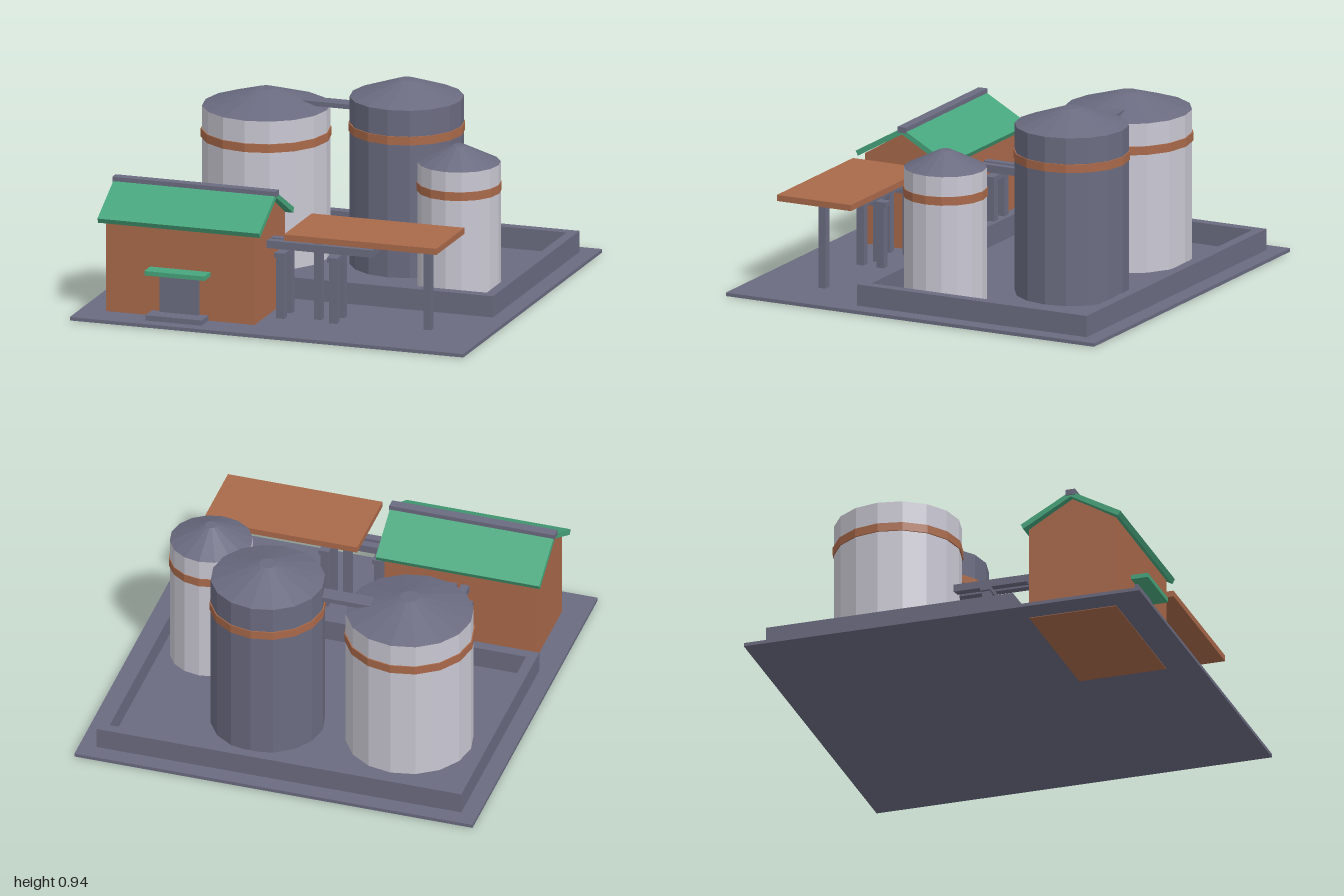
import * as THREE from 'three';

export function createModel() {
  const model = new THREE.Group();
  model.name = 'storagePlant';

  const material = (name, color, extra = {}) => {
    const m = new THREE.MeshStandardMaterial({ color, flatShading: true, ...extra });
    m.name = name;
    return m;
  };
  const slate = material('slate', 0x6a6b80);
  const pale = material('paleGrey', 0xc9c7d2);
  const rust = material('rust', 0xa9694a);
  const green = material('green', 0x47a57c);

  const add = (parent, name, geometry, mat) => {
    const mesh = new THREE.Mesh(geometry, mat);
    mesh.name = name;
    parent.add(mesh);
    return mesh;
  };
  // Box given by its limits on each axis
  const box = (parent, name, mat, x0, x1, y0, y1, z0, z1) => {
    const mesh = add(parent, name, new THREE.BoxGeometry(x1 - x0, y1 - y0, z1 - z0), mat);
    mesh.position.set((x0 + x1) / 2, (y0 + y1) / 2, (z0 + z1) / 2);
    return mesh;
  };
  const group = (name) => {
    const g = new THREE.Group();
    g.name = name;
    model.add(g);
    return g;
  };
  // Cross-section in (z, y), extruded along x
  const prism = (parent, name, mat, points, x0, x1, z) => {
    const shape = new THREE.Shape(points.map(([a, b]) => new THREE.Vector2(a, b)));
    const geometry = new THREE.ExtrudeGeometry(shape, { depth: x1 - x0, bevelEnabled: false });
    geometry.rotateY(Math.PI / 2);
    const mesh = add(parent, name, geometry, mat);
    mesh.position.set(x0, 0, z);
    return mesh;
  };

  // Ground slab
  box(model, 'groundSlab', slate, -1, 1, 0.003, 0.02, -1, 1);

  // Low wall around the tanks
  const wall = group('retainingWall');
  box(wall, 'backWall', slate, -0.917, 0.915, 0.02, 0.125, -0.915, -0.865);
  box(wall, 'frontWall', slate, -0.917, 0.915, 0.02, 0.125, 0.28, 0.332);
  box(wall, 'rightWall', slate, -0.917, -0.867, 0.02, 0.125, -0.865, 0.28);
  box(wall, 'leftWall', slate, 0.865, 0.915, 0.02, 0.125, -0.865, 0.28);

  // Tanks with a painted band and a shallow cone roof
  const tank = (name, mat, x, z, r, top) => {
    const g = group(name);
    g.position.set(x, 0, z);
    const ring = (part, m, r0, r1, y0, y1) => {
      add(g, part, new THREE.CylinderGeometry(r1, r0, y1 - y0, 16), m).position.y = (y0 + y1) / 2;
    };
    const band = 0.02 + (top - 0.02) * 0.82;
    ring('tankBody', mat, r, r, 0.02, top);
    ring('tankBand', rust, r * 1.02, r * 1.02, band - 0.021, band + 0.021);
    ring('tankRoof', slate, r, r * 0.15, top, top + 0.084);
  };
  tank('wideTank', pale, -0.493, -0.39, 0.308, 0.76);
  tank('tallTank', slate, 0.2, -0.453, 0.275, 0.852);
  tank('smallTank', pale, 0.628, 0.005, 0.2, 0.683);
  box(model, 'tankWalkway', slate, -0.32, -0.05, 0.777, 0.8, -0.465, -0.385);

  // Building with a gabled roof
  const building = group('building');
  prism(building, 'buildingWalls', rust,
    [[-0.22, 0], [0.22, 0], [0.22, 0.468], [0, 0.6], [-0.22, 0.468]], -0.872, -0.117, 0.62);
  prism(building, 'gableRoof', green,
    [[0, 0.625], [-0.252, 0.485], [-0.24, 0.461], [0, 0.597], [0.24, 0.461], [0.252, 0.485]],
    -0.905, -0.083, 0.62);
  box(building, 'roofRidge', slate, -0.91, -0.08, 0.605, 0.633, 0.596, 0.644);
  box(building, 'door', slate, -0.595, -0.397, 0.045, 0.237, 0.83, 0.857);
  box(building, 'doorStep', slate, -0.638, -0.352, 0.02, 0.046, 0.835, 0.938);
  box(building, 'doorAwning', green, -0.648, -0.342, 0.24, 0.262, 0.835, 0.925);

  // Pipe rack: two pipes along x, on portal supports
  const pipeRack = (name, length, supports) => {
    const g = group(name);
    for (const side of [-1, 1]) {
      const c = side * 0.03;
      box(g, 'pipe', slate, 0, length, 0.358, 0.395, c - 0.02, c + 0.02);
    }
    for (const x of supports) {
      box(g, 'crossbeam', slate, x - 0.025, x + 0.025, 0.325, 0.348, -0.088, 0.088);
      for (const side of [-1, 1]) {
        const c = side * 0.054;
        box(g, 'rackPost', slate, x - 0.02, x + 0.02, 0.02, 0.325, c - 0.02, c + 0.02);
      }
    }
    return g;
  };
  pipeRack('sidePipeRack', 0.54, [0.08, 0.348]).position.set(-0.12, 0, 0.617);
  const backRack = pipeRack('backPipeRack', 0.52, [0.085, 0.325]);
  backRack.rotation.y = Math.PI / 2;
  backRack.position.set(-0.495, 0, 0.405);

  // Loading canopy on two posts
  const canopy = group('canopy');
  box(canopy, 'canopyRoof', rust, 0.027, 0.803, 0.45, 0.48, 0.425, 0.828);
  for (const x of [0.137, 0.692]) {
    box(canopy, 'canopyPost', slate, x - 0.019, x + 0.019, 0.02, 0.45, 0.612, 0.65);
  }

  return model;
}
